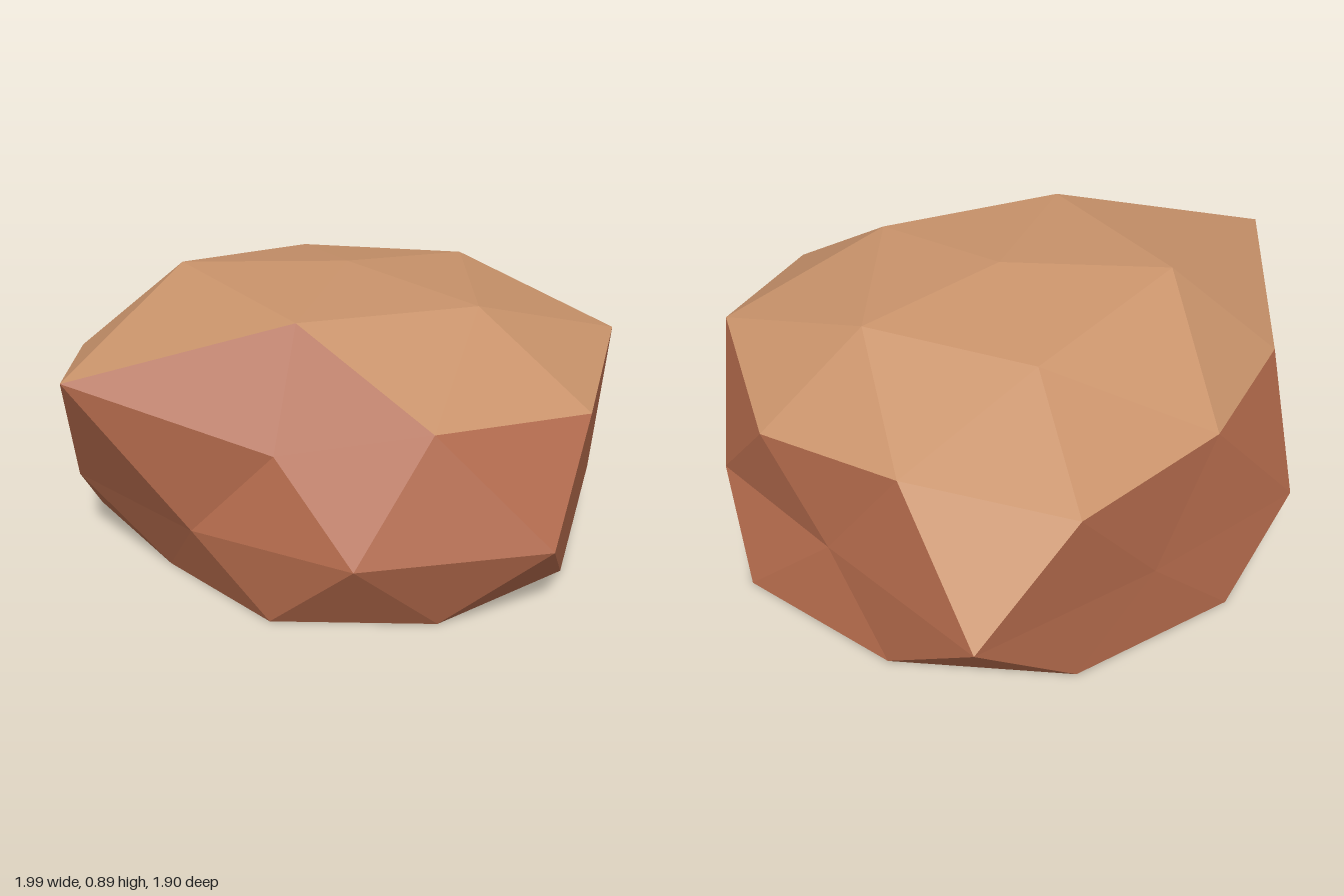
import * as THREE from 'three';

const tan = new THREE.MeshStandardMaterial({ color: 0xc8926a });
tan.name = 'sunlit tan stone';
const red = new THREE.MeshStandardMaterial({ color: 0xb0684a });
red.name = 'red brown stone';

// Turns [radius, height] pairs into a ring of points around the rock's axis
const ring = (pairs, startDegrees) => pairs.map(([r, y], i) => {
  const a = THREE.MathUtils.degToRad(startDegrees + (i * 360) / pairs.length);
  return new THREE.Vector3(0.06 + r * Math.cos(a), y, -0.07 + r * Math.sin(a));
});

function facetMesh(name, triangles, material) {
  const geometry = new THREE.BufferGeometry().setFromPoints(triangles.flat());
  geometry.computeVertexNormals(); // unshared corners give flat facets
  const mesh = new THREE.Mesh(geometry, material);
  mesh.name = name;
  return mesh;
}

export function createModel() {
  // Rings from the summit down to the flat base
  const summit = new THREE.Vector3(0.06, 0.89, -0.07);
  const crown = ring([[0.49, 0.82], [0.5, 0.84], [0.53, 0.87], [0.54, 0.89], [0.463, 0.8]], 0);
  const shoulder = ring([[0.85, 0.56], [0.89, 0.65], [0.91, 0.58], [0.78, 0.61], [0.75, 0.53],
    [1.06, 0.73], [0.885, 0.6], [0.84, 0.62], [0.925, 0.59], [0.785, 0.6]], 0);
  const waist = ring([0.915, 0.83, 1.02, 0.93, 0.83, 0.925, 0.99, 0.865, 1.085, 0.81]
    .map((r) => [r, 0.26]), 18);
  const base = ring([0.93, 0.79, 0.84, 0.84, 0.815, 0.72, 0.86, 0.92, 0.925, 0.905]
    .map((r) => [r, 0]), 0);
  const baseCentre = new THREE.Vector3(0.06, 0, -0.07);

  const top = [];
  const sides = [];
  const bottom = [];

  // Crown and the slopes below it; the overhang beside the spike is red
  for (let k = 0; k < 5; k++) {
    const c = crown[k];
    const next = crown[(k + 1) % 5];
    const s = shoulder[2 * k];
    const after = shoulder[2 * k + 1];
    const before = shoulder[(2 * k + 9) % 10];
    top.push([summit, next, c], [c, next, after]);
    (k === 2 ? sides : top).push([c, after, s], [c, s, before]);
  }

  // Side facets down to the ground and the flat underside
  for (let i = 0; i < 10; i++) {
    const j = (i + 1) % 10;
    // One tan facet reaches down to the waist at the back corner
    (i === 8 ? top : sides).push([shoulder[i], shoulder[j], waist[i]]);
    sides.push(
      [waist[i], shoulder[j], waist[j]],
      [waist[i], waist[j], base[j]],
      [base[i], waist[i], base[j]],
    );
    bottom.push([baseCentre, base[i], base[j]]);
  }

  const rock = new THREE.Group();
  rock.name = 'rock';
  rock.add(
    facetMesh('rockTop', top, tan),
    facetMesh('rockSides', sides, red),
    facetMesh('rockBase', bottom, red),
  );
  return rock;
}
